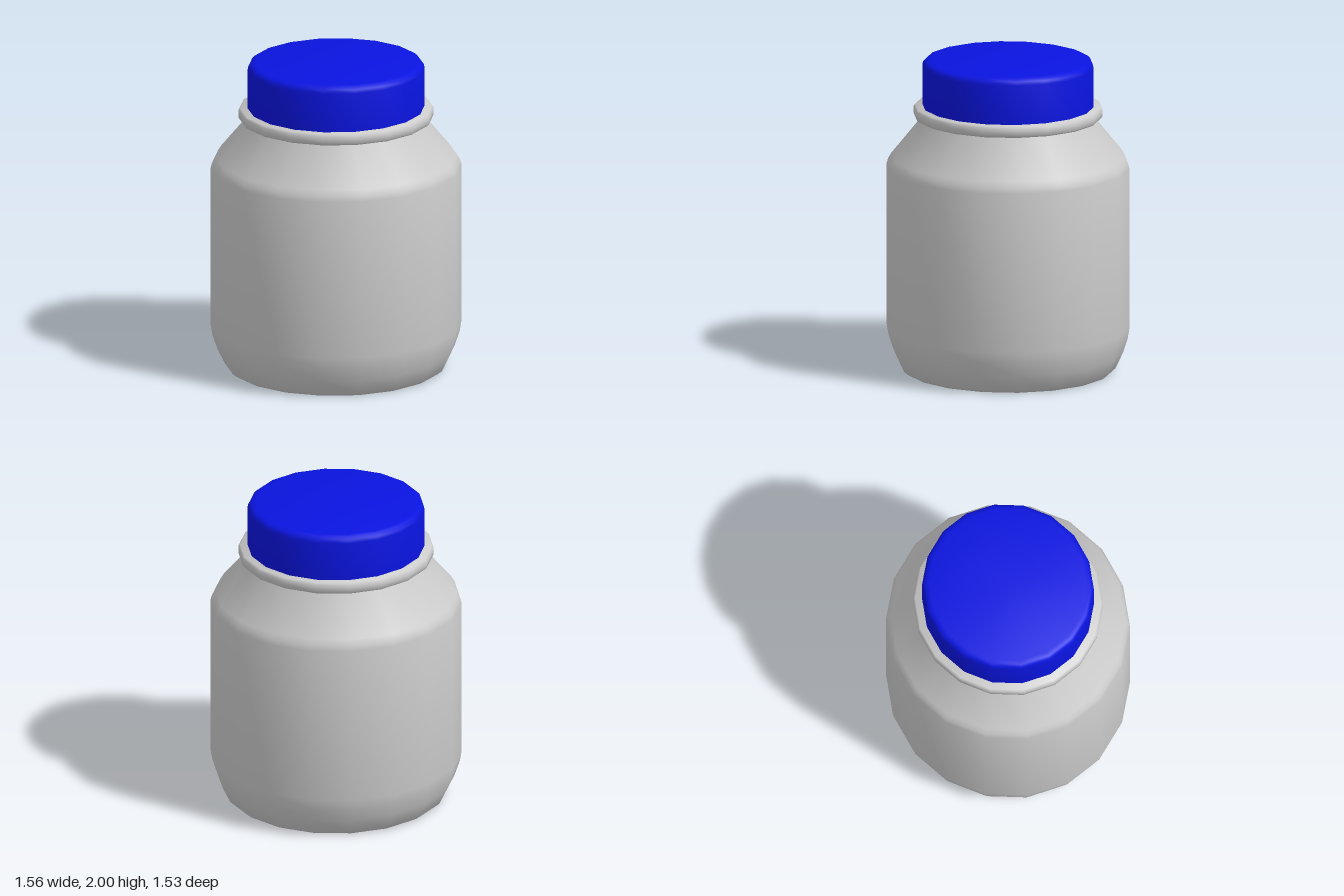
import * as THREE from 'three';
import { toCreasedNormals } from 'three/addons/utils/BufferGeometryUtils.js';

const SIDES = 18;
const DEPTH = 0.966; // jar is slightly narrower front to back
const FLAT = Math.cos(Math.PI / SIDES); // half width at x over corner radius

// Turned part from a [half width, height] profile running bottom to top
function turned(name, profile, material, crease) {
  const points = profile.map(([x, y]) => new THREE.Vector2(x / FLAT, y));
  const geometry = new THREE.LatheGeometry(points, SIDES);
  geometry.scale(1, 1, DEPTH);
  const mesh = new THREE.Mesh(toCreasedNormals(geometry, crease), material);
  mesh.name = name;
  return mesh;
}

export function createModel() {
  const grey = new THREE.MeshStandardMaterial({ color: 0xcccccc });
  const blue = new THREE.MeshStandardMaterial({ color: 0x0a14e0 });
  const jar = new THREE.Group();
  jar.name = 'jar';

  // Body: flat base, rounded foot, straight wall, sloping shoulder, neck
  jar.add(turned('body', [
    [0, 0], [0.665, 0], [0.69, 0.02], [0.738, 0.12], [0.768, 0.21], [0.78, 0.28],
    [0.78, 1.31], [0.771, 1.345], [0.75, 1.38], [0.55, 1.625], [0.54, 1.66],
  ], grey, 0.7));

  // Collar around the neck, with softened edges
  jar.add(turned('collar', [
    [0.5, 1.63], [0.595, 1.63], [0.605, 1.64], [0.607, 1.667],
    [0.605, 1.692], [0.595, 1.703], [0, 1.703],
  ], grey, 0.9));

  // Lid with a rounded top rim
  jar.add(turned('lid', [
    [0, 1.695], [0.55, 1.695], [0.55, 1.955], [0.545, 1.978],
    [0.53, 1.993], [0.505, 2], [0, 2],
  ], blue, 0.7));

  return jar;
}
